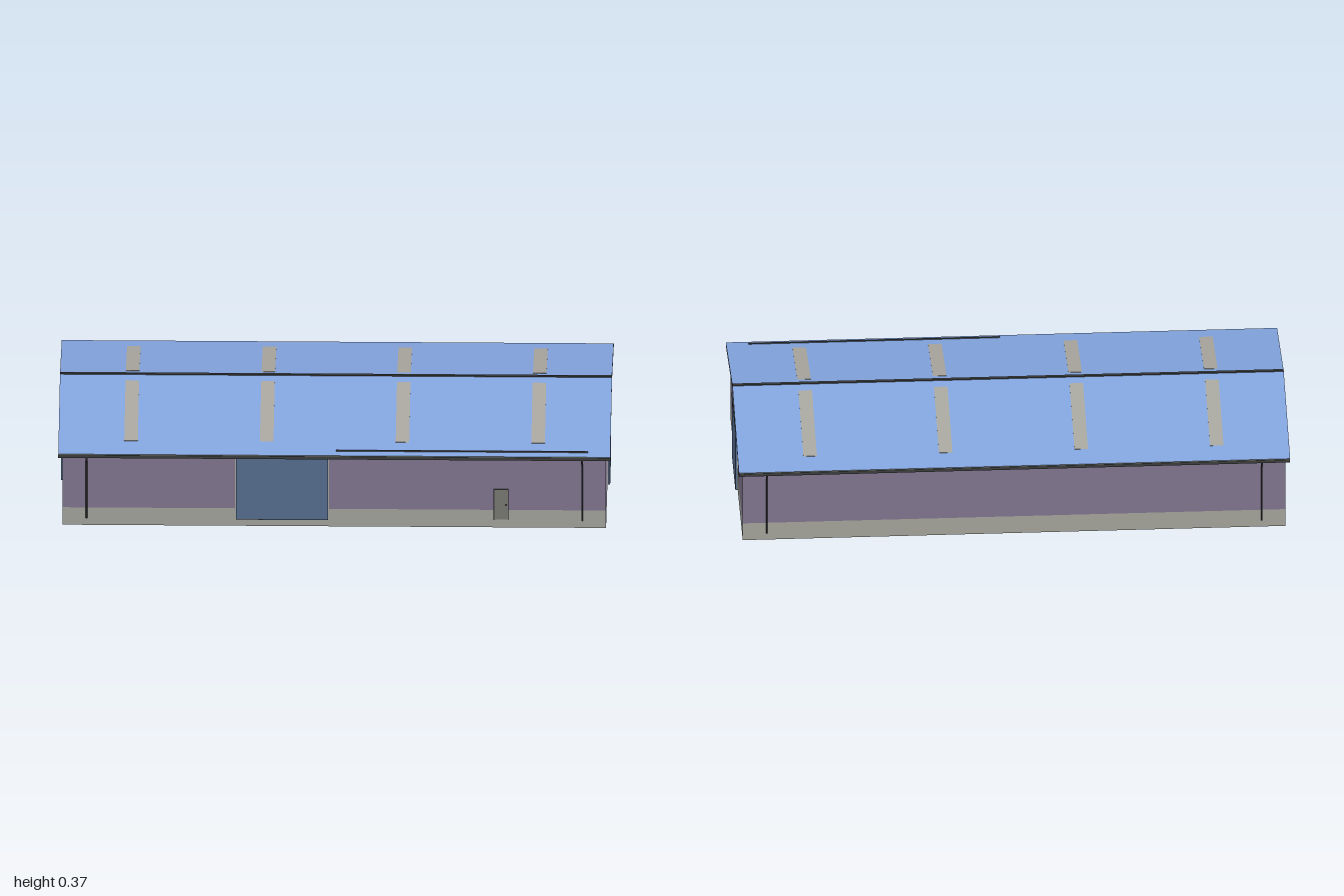
import * as THREE from 'three';

const mat = (name, color, side = THREE.FrontSide) => {
  const m = new THREE.MeshStandardMaterial({ color, side });
  m.name = name;
  return m;
};

export function createModel() {
  const wallMat = mat('mauve wall', 0x8b7f9b, THREE.DoubleSide);
  const plinthMat = mat('pale concrete', 0xb1b1a9, THREE.DoubleSide);
  const roofMat = mat('blue roof', 0x84a6e0);
  const doorMat = mat('blue door', 0x5d779b);
  const skyMat = mat('skylight', 0xaaa8a0);
  const darkMat = mat('dark metal', 0x424443);
  const vergeMat = mat('grey verge', 0x83837b);
  const underMat = mat('roof underside', 0x95958d);

  // half sizes of walls and roof, heights
  const A = 0.921, B = 0.405, RA = 0.9355, RB = 0.4325;
  const PLINTH = 0.066, RIDGE = 0.371, SLOPE = 0.208, THICK = 0.012;
  const wallTop = z => RIDGE - THICK - SLOPE * z;
  const ang = Math.atan(SLOPE);

  const building = new THREE.Group();
  building.name = 'building';

  const box = (parent, name, material, w, h, d, x, y, z) => {
    const m = new THREE.Mesh(new THREE.BoxGeometry(w, h, d), material);
    m.name = name;
    m.position.set(x, y, z);
    parent.add(m);
  };
  const panel = (parent, name, material, points, z) => {
    const shape = new THREE.Shape(points.map(p => new THREE.Vector2(...p)));
    const m = new THREE.Mesh(new THREE.ShapeGeometry(shape), material);
    m.name = name;
    m.position.z = z;
    parent.add(m);
  };

  // sliding door lying on a wall that faces +z, with flat pale edges and a floor track
  const slidingDoor = (parent, x0, x1, y0, y1, z) => {
    const w = x1 - x0, cx = (x0 + x1) / 2, h = y1 - y0, cy = (y0 + y1) / 2;
    box(parent, 'slidingDoor', doorMat, w, h, 0.008, cx, cy, z + 0.006);
    for (const x of [x0 - 0.002, x1 + 0.002])
      box(parent, 'doorEdge', plinthMat, 0.004, h, 0.002, x, cy, z + 0.003);
    box(parent, 'floorTrack', darkMat, w, 0.002, 0.008, cx, y0 - 0.001, z + 0.006);
  };

  // each half turn gives one long side, one gable and one roof slope
  for (let i = 0; i < 2; i++) {
    const half = new THREE.Group();
    half.name = i ? 'backHalf' : 'frontHalf';
    half.rotation.y = i * Math.PI;
    building.add(half);

    // long wall
    panel(half, 'sidePlinth', plinthMat, [[-A, 0], [A, 0], [A, PLINTH], [-A, PLINTH]], B);
    panel(half, 'sideWall', wallMat,
      [[-A, PLINTH], [A, PLINTH], [A, wallTop(B)], [-A, wallTop(B)]], B);

    // gable end
    const gable = new THREE.Group();
    gable.name = 'gableEnd';
    gable.rotation.y = Math.PI / 2;
    half.add(gable);
    panel(gable, 'gablePlinth', plinthMat, [[-B, 0], [B, 0], [B, PLINTH], [-B, PLINTH]], A);
    panel(gable, 'gableWall', wallMat,
      [[-B, PLINTH], [B, PLINTH], [B, wallTop(B)], [0, wallTop(0)], [-B, wallTop(B)]], A);
    slidingDoor(gable, -0.12, 0.112, 0.025, 0.255, A);
    box(gable, 'doorRail', darkMat, 0.473, 0.004, 0.01, 0.107, 0.263, A + 0.006);

    // roof slope, hinged at the ridge
    const slope = new THREE.Group();
    slope.name = 'roofSlope';
    slope.position.y = RIDGE;
    slope.rotation.x = ang;
    half.add(slope);
    const len = RB / Math.cos(ang);
    box(slope, 'roofSheet', [vergeMat, vergeMat, roofMat, underMat, vergeMat, vergeMat],
      RA * 2, THICK, len, 0, -THICK / 2, len / 2);
    for (const x of [-0.69, -0.23, 0.23, 0.69])
      box(slope, 'skylight', skyMat, 0.046, 0.0012, 0.33, x, 0.0004, 0.202);

    // gutter and downpipes
    box(half, 'gutter', darkMat, RA * 2, 0.011, 0.012, 0, 0.2725, RB - 0.005);
    for (const x of [-0.84, 0.84]) {
      const path = new THREE.CurvePath();
      const pts = [[0.03, B + 0.008], [0.247, B + 0.008], [0.253, RB - 0.006], [0.27, RB - 0.006]]
        .map(([y, z]) => new THREE.Vector3(x, y, z));
      for (let k = 0; k < 3; k++) path.add(new THREE.LineCurve3(pts[k], pts[k + 1]));
      const pipe = new THREE.Mesh(new THREE.TubeGeometry(path, 24, 0.003, 8), darkMat);
      pipe.name = 'downpipe';
      half.add(pipe);
    }
  }

  // ridge cap
  box(building, 'ridgeCap', darkMat, RA * 2, 0.005, 0.01, 0, RIDGE + 0.0005, 0);

  // front sliding door and its thin high rail
  slidingDoor(building, -0.333, -0.022, 0.03, 0.27, B);
  box(building, 'frontRail', darkMat, 0.854, 0.006, 0.002, 0.433, 0.288, B + 0.003);

  // small personnel door set through the front wall
  const entry = new THREE.Group();
  entry.name = 'smallDoor';
  entry.position.set(0.565, 0.087, B);
  building.add(entry);
  box(entry, 'doorLeaf', vergeMat, 0.046, 0.112, 0.008, 0, 0, 0);
  for (const s of [-1, 1])
    box(entry, 'doorJamb', darkMat, 0.002, 0.114, 0.01, s * 0.024, 0, 0);
  box(entry, 'doorHead', darkMat, 0.05, 0.002, 0.01, 0, 0.057, 0);
  box(entry, 'doorHandle', darkMat, 0.006, 0.004, 0.014, 0.017, 0, 0);

  // the building stands at an angle to the axes
  building.rotation.y = 0.183;
  const model = new THREE.Group();
  model.name = 'warehouse';
  model.add(building);
  return model;
}
